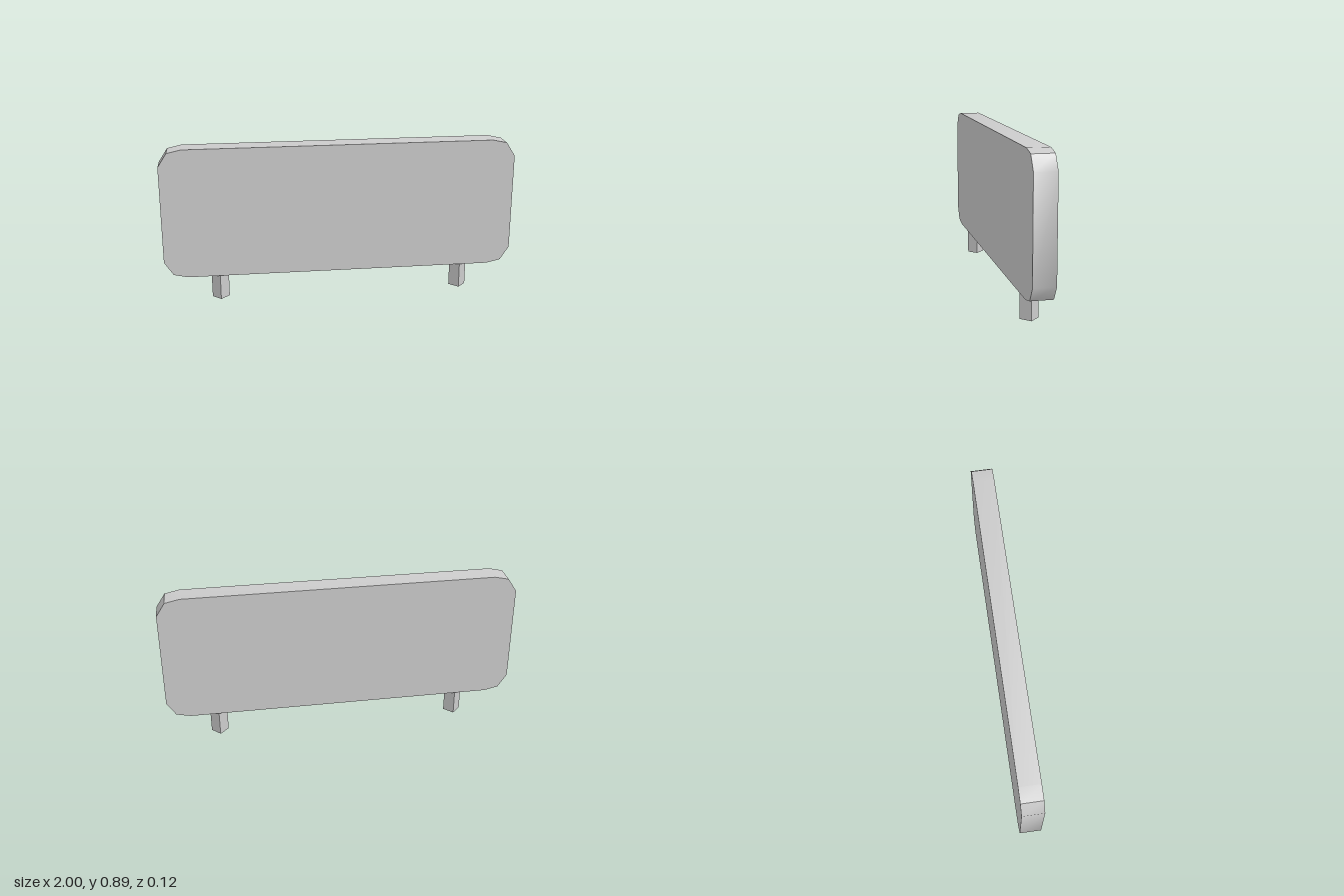
import * as THREE from 'three';
import { toCreasedNormals } from 'three/addons/utils/BufferGeometryUtils.js';

export function createModel() {
  const group = new THREE.Group();
  const material = new THREE.MeshStandardMaterial({ color: 0xcccccc });

  // Panel outline: one faceted corner, mirrored to all four
  const halfH = 0.372, centerY = 0.522, depth = 0.12;
  const corner = [[1, halfH - 0.095], [0.95, halfH - 0.018], [0.87, halfH]];
  const outline = [];
  for (const [sx, sy] of [[1, 1], [-1, 1], [-1, -1], [1, -1]]) {
    const points = corner.map(([x, y]) => new THREE.Vector2(x * sx, y * sy));
    outline.push(...(sx * sy > 0 ? points : points.reverse()));
  }
  const slab = new THREE.ExtrudeGeometry(new THREE.Shape(outline), { depth, bevelEnabled: false });
  slab.translate(0, centerY, -depth / 2);
  const panel = new THREE.Mesh(toCreasedNormals(slab, THREE.MathUtils.degToRad(38)), material);
  panel.name = 'panel';
  group.add(panel);

  // Two square posts, turned corner-forward
  const legHeight = 0.15;
  const legMaterial = material.clone();
  legMaterial.flatShading = true;
  const legGeometry = new THREE.CylinderGeometry(0.049, 0.049, legHeight, 4);
  for (const [name, x] of [['leftLeg', 0.71], ['rightLeg', -0.69]]) {
    const leg = new THREE.Mesh(legGeometry, legMaterial);
    leg.name = name;
    leg.position.set(x, legHeight / 2, 0);
    group.add(leg);
  }
  return group;
}
